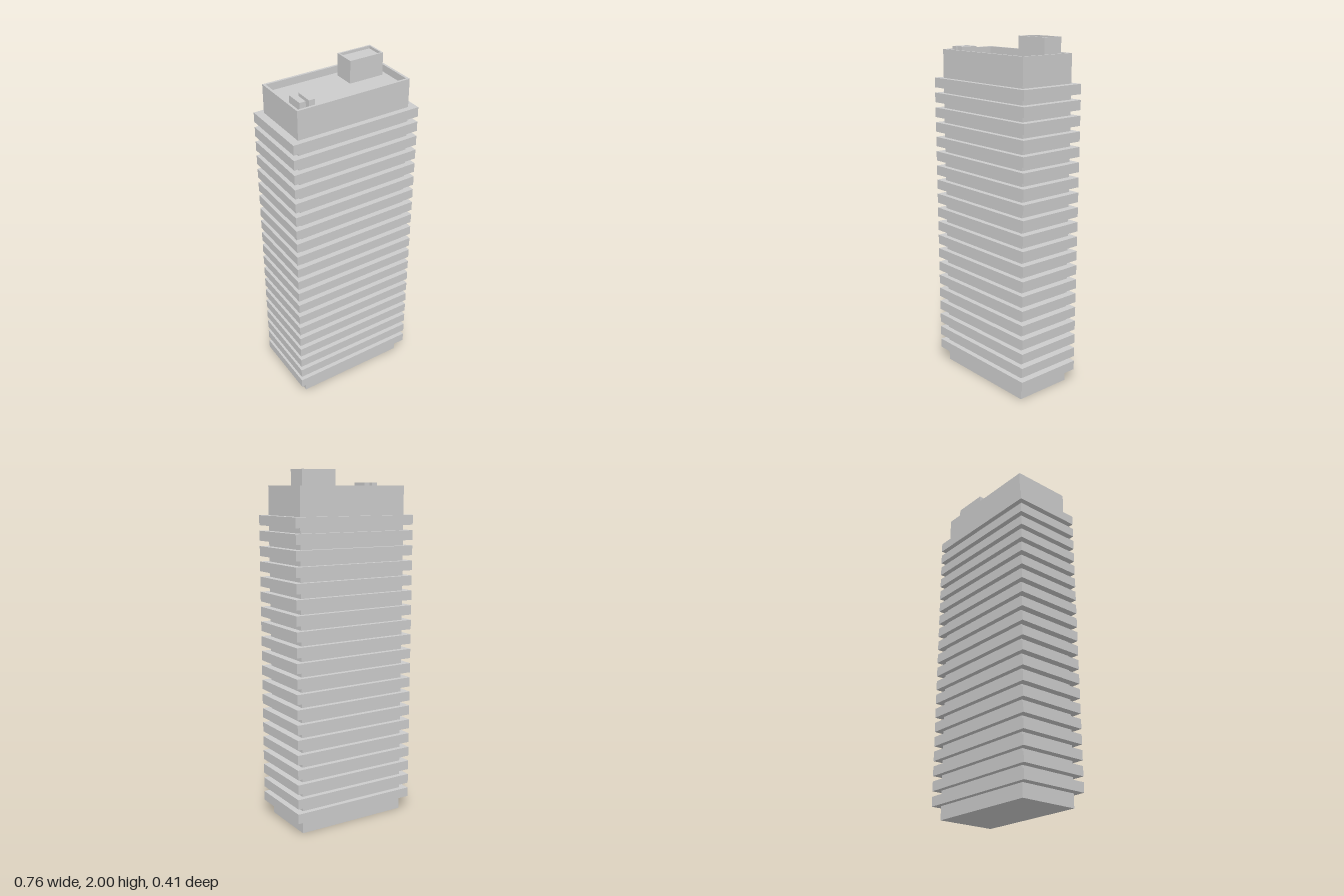
import * as THREE from 'three';

const material = new THREE.MeshStandardMaterial({ color: 0xcccccc, flatShading: true });

function box(name, x0, x1, y0, y1, z0, z1) {
  const mesh = new THREE.Mesh(new THREE.BoxGeometry(x1 - x0, y1 - y0, z1 - z0), material);
  mesh.position.set((x0 + x1) / 2, (y0 + y1) / 2, (z0 + z1) / 2);
  mesh.name = name;
  return mesh;
}

// Block with a raised rim around a sunken roof, skinned over rectangular loops
function rimmedBlock(name, x0, x1, y0, y1, z0, z1, rim, deckY) {
  const loop = (y, inset) => [
    [x0 + inset, y, z1 - inset], [x1 - inset, y, z1 - inset],
    [x1 - inset, y, z0 + inset], [x0 + inset, y, z0 + inset],
  ];
  const loops = [loop(y0, 0), loop(y1, 0), loop(y1, rim), loop(deckY, rim)];
  const positions = [];
  const quad = (a, b, c, d) => positions.push(...a, ...b, ...c, ...a, ...c, ...d);
  for (let i = 0; i < 3; i++) {
    for (let k = 0; k < 4; k++) {
      const n = (k + 1) % 4;
      quad(loops[i][k], loops[i][n], loops[i + 1][n], loops[i + 1][k]);
    }
  }
  quad(...loops[3]); // roof deck
  quad(...loops[0].slice().reverse()); // underside
  const geometry = new THREE.BufferGeometry();
  geometry.setAttribute('position', new THREE.Float32BufferAttribute(positions, 3));
  geometry.computeVertexNormals();
  const mesh = new THREE.Mesh(geometry, material);
  mesh.name = name;
  return mesh;
}

export function createModel() {
  const group = new THREE.Group();
  group.name = 'towerBlock';

  // Main shaft with roof parapet
  group.add(rimmedBlock('tower', -0.334, 0.334, 0, 1.915, -0.176, 0.174, 0.0135, 1.875));

  // Projecting floor bands
  const floors = new THREE.Group();
  floors.name = 'floorBands';
  for (let i = 0; i < 20; i++) {
    const y = 0.077 + i * 0.0854;
    floors.add(box('floorBand', -0.378, 0.378, y, y + 0.055, -0.206, 0.205));
  }
  group.add(floors);

  // Rooftop plant room with its own low parapet
  group.add(rimmedBlock('plantRoom', 0.091, 0.295, 1.874, 2, -0.133, -0.012, 0.0095, 1.985));

  // Pair of rooftop ventilation units
  for (const x of [-0.298, -0.245]) {
    group.add(box('ventUnit', x, x + 0.035, 1.874, 1.932, 0.034, 0.136));
  }
  return group;
}
